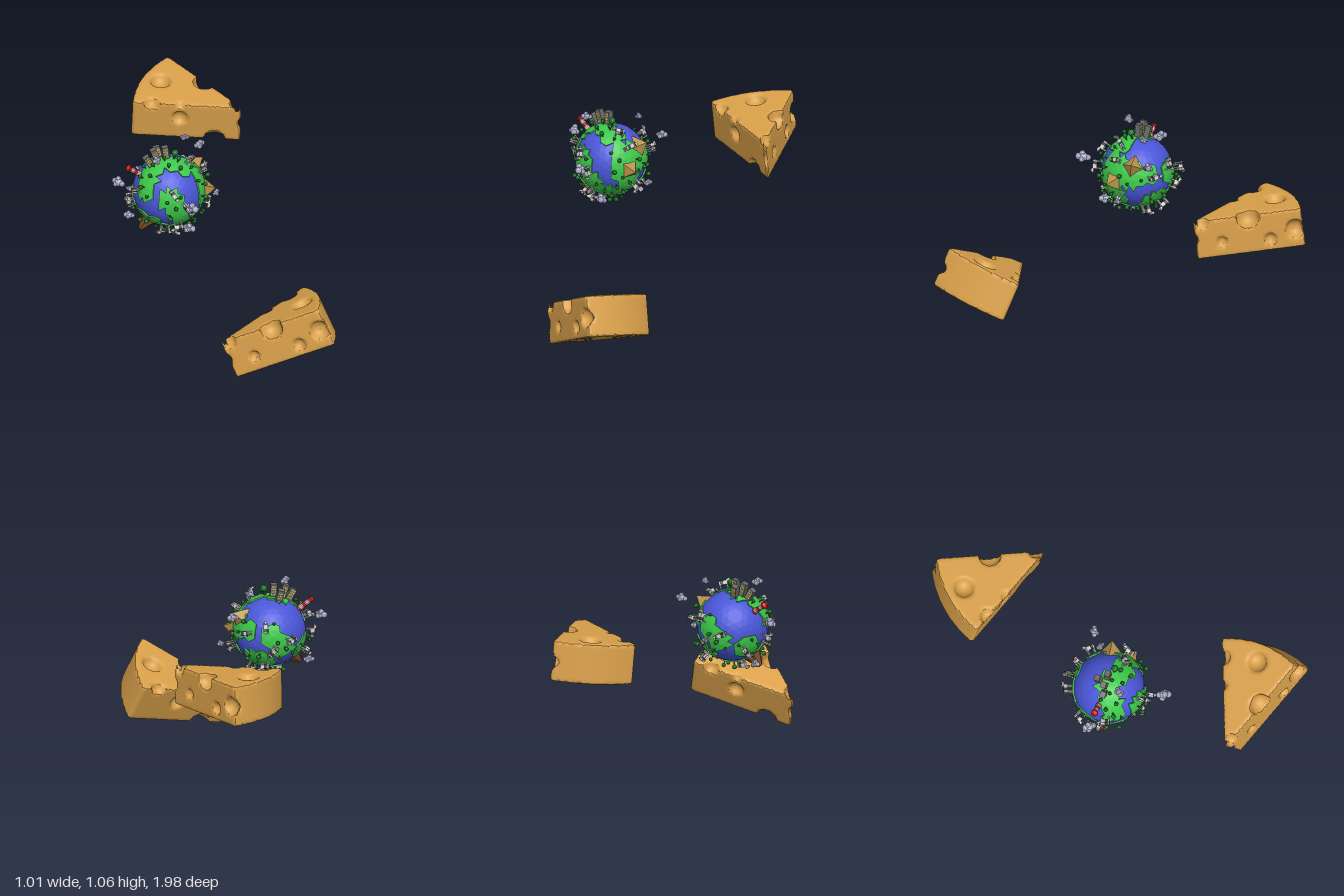
import * as THREE from 'three';
import { mergeVertices, toCreasedNormals } from 'three/addons/utils/BufferGeometryUtils.js';

const mat = (color, extra = {}) => new THREE.MeshStandardMaterial({ color, flatShading: true, ...extra });
const M = {
  cheese: mat(0xd9a04a, { flatShading: false }), ocean: mat(0x4a56d8), land: mat(0x3cc84a),
  leaf: mat(0x1f7f2c), trunk: mat(0x6b4526), rock: mat(0x7d4c2e), sand: mat(0xb8934c),
  cloud: mat(0xb4b4d2), tower: mat(0x686868), window: mat(0xe8cf3a), red: mat(0xe01a1a),
  white: mat(0xdcdcdc), dark: mat(0x3a3a3a), pink: mat(0xc9a0a0),
};
const V = (x, y, z) => new THREE.Vector3(x, y, z);

function add(parent, name, geo, material, x = 0, y = 0, z = 0) {
  const m = new THREE.Mesh(geo, material);
  m.name = name;
  m.position.set(x, y, z);
  parent.add(m);
  return m;
}
function group(name, parent) {
  const g = new THREE.Group();
  g.name = name;
  if (parent) parent.add(g);
  return g;
}

// ---- Cheese: a round wedge (tip at the origin, along +x) with spheres scooped out ----
const R = 0.585, H = 0.22, HALF = 0.39;
const HOLES = [ // x, y, z, radius
  [-0.025, 0.11, 0, 0.055], [0.05, 0.21, 0.025, 0.04],
  [0.137, 0, -0.056, 0.055], [0.307, 0.13, -0.135, 0.042],
  [0.45, 0.22, -0.18, 0.042], [0.31, 0.22, -0.127, 0.026],
  [0.488, 0.23, 0.013, 0.056], [0.28, 0.2, 0.11, 0.058],
  [0.14, 0.085, 0.062, 0.03], [0.375, 0.065, 0.158, 0.034], [0.5, 0.105, 0.21, 0.052],
  [0.28, -0.005, 0.044, 0.045], [0.38, -0.005, 0.11, 0.032], [0.47, -0.005, -0.09, 0.036],
];
function cheeseField(x, y, z) {
  let d = Math.max(-y, y - H, Math.hypot(x, z) - R, Math.abs(z) * Math.cos(HALF) - x * Math.sin(HALF));
  for (const [a, b, c, r] of HOLES) d = Math.max(d, r - Math.hypot(x - a, y - b, z - c));
  return d;
}
// Skins the zero surface of a field on a regular grid, one vertex per crossed cell
function skinField(f, lo, n, s) {
  const step = [1, n[0], n[0] * n[1]], val = new Float32Array(n[0] * n[1] * n[2]);
  const pos = [], idx = [], cellVertex = new Map();
  const each = (margin, fn) => {
    for (let k = margin; k < n[2] - 1; k++) for (let j = margin; j < n[1] - 1; j++)
      for (let i = margin; i < n[0] - 1; i++) fn([i, j, k], i + j * step[1] + k * step[2]);
  };
  val.fill(1);
  each(0, ([i, j, k], id) => { val[id] = f(lo[0] + i * s, lo[1] + j * s, lo[2] + k * s); });
  each(0, (p, id) => {
    const sum = [0, 0, 0];
    let count = 0;
    for (let a = 0; a < 3; a++) for (let q = 0; q < 4; q++) {
      const b = (a + 1) % 3, c = (a + 2) % 3, ob = q & 1, oc = q >> 1;
      const e = id + ob * step[b] + oc * step[c], v0 = val[e], v1 = val[e + step[a]];
      if ((v0 < 0) === (v1 < 0)) continue;
      sum[a] += v0 / (v0 - v1); sum[b] += ob; sum[c] += oc;
      count++;
    }
    if (!count) return;
    cellVertex.set(id, pos.length / 3);
    for (let a = 0; a < 3; a++) pos.push(lo[a] + (p[a] + sum[a] / count) * s);
  });
  each(1, (p, id) => {
    for (let a = 0; a < 3; a++) {
      const inside = val[id] < 0;
      if (inside === (val[id + step[a]] < 0)) continue;
      const b = step[(a + 1) % 3], c = step[(a + 2) % 3];
      const q = [id, id - b, id - b - c, id - c].map((i) => cellVertex.get(i));
      if (!inside) q.reverse();
      idx.push(q[0], q[1], q[2], q[0], q[2], q[3]);
    }
  });
  const g = new THREE.BufferGeometry();
  g.setAttribute('position', new THREE.Float32BufferAttribute(pos, 3));
  g.setIndex(idx);
  return toCreasedNormals(g, 0.6);
}

// ---- Globe ----
const OCEAN = 0.188, LAND = 0.196;
const CONTINENTS = [ // direction, angular radius
  [-0.2, 0.2, 1, 0.36], [0.1, -0.35, 0.95, 0.36], [0.3, -0.75, 0.6, 0.4], [0, -1, 0.1, 0.5],
  [-0.85, 0.4, 0.45, 0.33], [-0.7, 0.75, 0.3, 0.33], [-0.25, 0.97, 0.1, 0.36], [0.3, 0.9, 0.3, 0.36],
  [0.85, 0.4, 0.35, 0.42], [0.9, 0, 0.4, 0.42], [1, 0.35, -0.2, 0.42], [0.85, -0.4, 0.25, 0.36],
  [-0.6, -0.7, 0.3, 0.45], [-0.3, -0.1, -1, 0.36], [0.1, 0.25, -0.95, 0.3], [0.4, -0.6, -0.7, 0.42],
  [-0.85, -0.35, -0.4, 0.36], [0.7, 0.3, -0.65, 0.28],
].map(([x, y, z, r]) => [V(x, y, z).normalize(), r]);
const isLand = (d) => CONTINENTS.some(([c, r]) => c.angleTo(d) < r);

// Raised plates: every land triangle of the sphere becomes a small prism
function landGeometry() {
  const src = new THREE.IcosahedronGeometry(1, 5).attributes.position, out = [];
  for (let i = 0; i < src.count; i += 3) {
    const t = [0, 1, 2].map((k) => new THREE.Vector3().fromBufferAttribute(src, i + k));
    if (!isLand(V(0, 0, 0).add(t[0]).add(t[1]).add(t[2]).normalize())) continue;
    const hi = t.map((v) => v.clone().multiplyScalar(LAND)), lo = t.map((v) => v.clone().multiplyScalar(OCEAN - 0.006));
    out.push(...hi);
    for (let k = 0; k < 3; k++) {
      const m = (k + 1) % 3;
      out.push(hi[k], lo[k], lo[m], hi[k], lo[m], hi[m]);
    }
  }
  const g = new THREE.BufferGeometry().setFromPoints(out);
  g.computeVertexNormals();
  return g;
}
// Stands a group on the globe, pointing outwards
function plant(g, dir, spin = 0, r = LAND) {
  const d = V(...dir).normalize();
  g.position.copy(d).multiplyScalar(r);
  g.quaternion.setFromUnitVectors(V(0, 1, 0), d);
  g.rotateY(spin);
}
const box = (w, h, d) => new THREE.BoxGeometry(w, h, d);
const ball = (r, detail = 0) => new THREE.IcosahedronGeometry(r, detail);

function tree(parent, dir, s) {
  const g = group('tree', parent);
  add(g, 'trunk', new THREE.CylinderGeometry(0.003, 0.004, 0.02, 5), M.trunk, 0, 0.006, 0);
  add(g, 'foliage', ball(0.011, 1), M.leaf, 0, 0.021, 0);
  g.scale.setScalar(s);
  plant(g, dir);
}
function cow(parent, dir, spin) {
  const g = group('cow', parent);
  add(g, 'body', box(0.046, 0.022, 0.022), M.white, 0, 0.033, 0);
  add(g, 'patch', box(0.016, 0.0235, 0.0235), M.dark, -0.008, 0.033, 0);
  add(g, 'head', box(0.016, 0.015, 0.014), M.white, 0.03, 0.045, 0);
  add(g, 'muzzle', box(0.008, 0.009, 0.012), M.pink, 0.04, 0.042, 0);
  add(g, 'ears', box(0.004, 0.005, 0.026), M.dark, 0.027, 0.051, 0);
  add(g, 'tail', box(0.003, 0.02, 0.003), M.dark, -0.025, 0.032, 0);
  for (const x of [-0.018, 0.018]) for (const z of [-0.007, 0.007]) add(g, 'leg', box(0.006, 0.026, 0.006), M.white, x, 0.011, z);
  plant(g, dir, spin);
}
function tower(parent, dir, h) {
  const g = group('tower', parent);
  add(g, 'block', box(0.034, h, 0.03), M.tower, 0, h / 2 - 0.012, 0);
  for (let y = 0.012; y < h - 0.02; y += 0.014) for (const x of [-0.009, 0, 0.009])
    add(g, 'windows', box(0.005, 0.007, 0.031), M.window, x, y, 0);
  plant(g, dir);
}
function cloud(parent, x, y, z, s) {
  const g = group('cloud', parent);
  const puffs = [[0, 0, 0, 0.022], [-0.021, -0.003, 0.004, 0.016], [0.022, 0.003, -0.004, 0.017], [0.006, 0.017, 0.004, 0.015], [-0.004, -0.008, 0.016, 0.015], [0.005, -0.006, -0.016, 0.014]];
  for (const [a, b, c, r] of puffs) add(g, 'puff', ball(r, 1), M.cloud, a, b, c);
  g.position.set(x + 0.2, y - 0.805, z - 0.11);
  g.rotation.y = x * 9;
  g.scale.setScalar(s);
}

export function createModel() {
  const root = group('floatingWorld');

  // Two copies of the same wedge
  const wedge = skinField(cheeseField, [-0.0263, -0.0263, -0.2563], [54, 24, 44], 0.0119);
  const back = add(root, 'backCheese', wedge, M.cheese, 0.38, 0.66, -0.48);
  back.rotation.set(0.13, 2.427, 0);
  const front = add(root, 'frontCheese', wedge, M.cheese);
  front.quaternion.setFromRotationMatrix(new THREE.Matrix4().makeBasis(V(0.934, 0.358, 0.01), V(-0.342, 0.901, -0.27), V(-0.106, 0.249, 0.964)));
  front.position.set(-0.035, 0, 0.78);

  const globe = group('globe', root);
  globe.position.set(-0.2, 0.805, 0.11);
  add(globe, 'ocean', ball(OCEAN, 5), M.ocean);
  add(globe, 'continents', landGeometry(), M.land);

  // City
  [[-0.5, 0.87, 0.05, 0.075], [-0.32, 0.95, 0, 0.085], [-0.08, 1, 0, 0.078], [-0.22, 0.96, -0.18, 0.07]]
    .forEach(([x, y, z, h]) => tower(globe, [x, y, z], h));

  // Striped lighthouse
  const light = group('lighthouse', globe);
  for (let i = 0; i < 5; i++) add(light, 'stripe', new THREE.CylinderGeometry(0.0155 - i * 0.001, 0.0165 - i * 0.001, 0.02, 10), i % 2 ? M.white : M.red, 0, i * 0.02, 0);
  add(light, 'gallery', new THREE.CylinderGeometry(0.02, 0.02, 0.005, 10), M.red, 0, 0.085, 0);
  add(light, 'roof', new THREE.ConeGeometry(0.018, 0.014, 10), M.red, 0, 0.094, 0);
  plant(light, [-0.8, 0.6, 0], 0, 0.188);

  // Pyramids and mountain
  [[1, 0.03, 0.3, 0.5], [0.82, 0.52, -0.22, 0.1]].forEach(([x, y, z, spin]) => {
    const g = group('pyramid', globe);
    add(g, 'pyramidBody', new THREE.ConeGeometry(0.062, 0.07, 4), M.sand, 0, 0.018, 0);
    plant(g, [x, y, z], spin);
  });
  const mountain = group('mountain', globe);
  add(mountain, 'mountainBody', new THREE.CylinderGeometry(0.012, 0.06, 0.09, 7), M.rock, 0, 0.018, 0);
  plant(mountain, [-0.62, -0.75, 0.12]);

  // Herd
  const herd = [
    [-1, -0.15, 0.1], [-0.95, 0.28, 0.25], [0.45, 0.82, 0.2], [0.92, -0.38, 0.1], [-0.15, -1, 0.15],
    [0, -0.55, 0.8], [-0.15, 0.38, 0.9], [-0.42, 0.1, -0.9], [0.7, 0.25, -0.75], [0.2, 0.4, -0.9],
    [0.2, -0.6, -0.75], [0.5, -0.75, -0.45], [0.05, -0.15, -1], [-0.1, -0.75, 0.65], [0.85, 0.62, 0.25],
    [-0.8, -0.35, -0.45], [0.15, 0.02, 1],
  ];
  herd.forEach((d, i) => cow(globe, d, i * 1.9));

  // Trees: one tall, the rest spread over the land
  tree(globe, [0.13, 1, 0.1], 1.7);
  const taken = [...herd, [1, 0.03, 0.3], [0.82, 0.52, -0.22], [-0.62, -0.75, 0.12], [-0.3, 0.95, 0], [-0.8, 0.6, 0]].map((d) => V(...d).normalize());
  for (let i = 0; i < 150; i++) {
    const y = 1 - (i + 0.5) / 75, r = Math.sqrt(1 - y * y), d = V(Math.cos(i * 2.4) * r, y, Math.sin(i * 2.4) * r);
    if (isLand(d) && taken.every((t) => t.angleTo(d) > 0.2)) tree(globe, d.toArray(), 0.8 + 0.12 * (i % 4));
  }

  // Clouds
  [[-0.47, 0.885, 0.1, 1], [-0.29, 1.045, 0.2, 0.8], [-0.085, 1.05, 0.02, 0.65], [0.015, 0.95, -0.05, 0.85],
    [-0.155, 0.845, 0.4, 1.1], [0.06, 0.74, 0.11, 0.65], [-0.13, 0.64, 0.26, 1], [-0.4, 0.65, 0.06, 0.8]]
    .forEach((c) => cloud(globe, ...c));
  return root;
}
